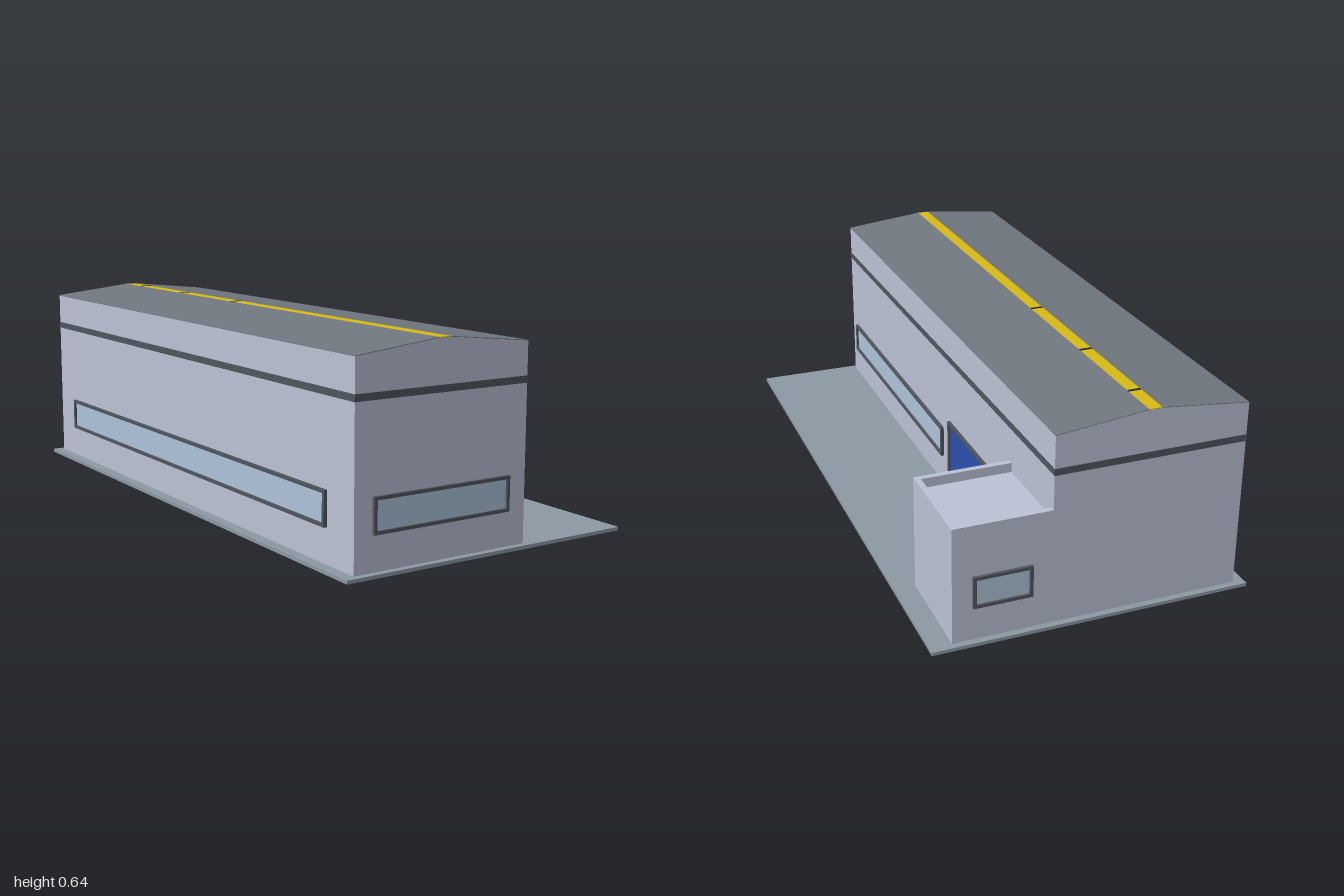
import * as THREE from 'three';

const mat = (color) => new THREE.MeshStandardMaterial({ color });
const wall = mat(0xbcc2d6), roofGrey = mat(0x70777f), slabGrey = mat(0x8c99a3);
const trim = mat(0x50555d), yellow = mat(0xd9bb12), blue = mat(0x2c4fae);
const glass = mat(0xadc4da), dark = mat(0x22252a);

export function createModel() {
  const model = new THREE.Group();

  const add = (name, geometry, material, parent = model) => {
    const mesh = new THREE.Mesh(geometry, material);
    mesh.name = name;
    parent.add(mesh);
    return mesh;
  };
  // Box given by its limits on each axis
  const box = (name, material, x0, x1, y0, y1, z0, z1) => {
    const g = new THREE.BoxGeometry(x1 - x0, y1 - y0, z1 - z0);
    g.translate((x0 + x1) / 2, (y0 + y1) / 2, (z0 + z1) / 2);
    return add(name, g, material);
  };
  // Cross-section in x, y drawn out along z
  const prism = (name, material, points, z0, z1) => {
    const shape = new THREE.Shape(points.map(([x, y]) => new THREE.Vector2(x, y)));
    const g = new THREE.ExtrudeGeometry(shape, { depth: z1 - z0, bevelEnabled: false });
    return add(name, g.translate(0, 0, z0), material);
  };
  const rect = (path, x0, y0, x1, y1) =>
    path.moveTo(x0, y0).lineTo(x1, y0).lineTo(x1, y1).lineTo(x0, y1).closePath();

  // Framed panel that stands out from a wall; built facing +z, then turned
  const opening = (name, w, y0, y1, border, sill, panelMat, x, z, turn) => {
    const group = new THREE.Group();
    group.name = name;
    const shape = new THREE.Shape();
    rect(shape, -w / 2, y0, w / 2, y1);
    const hole = new THREE.Path();
    rect(hole, -w / 2 + border, y0 + sill, w / 2 - border, y1 - border);
    shape.holes.push(hole);
    add(name + 'Frame', new THREE.ExtrudeGeometry(shape, { depth: 0.01, bevelEnabled: false }), trim, group);
    const panel = new THREE.BoxGeometry(w - border, y1 - y0 - border / 2, 0.002);
    add(name + 'Panel', panel.translate(0, (y0 + y1 - border / 2) / 2, 0.002), panelMat, group);
    group.position.set(x, 0, z);
    group.rotation.y = turn;
    model.add(group);
  };

  // Ground slab
  box('baseSlab', slabGrey, -0.5, 0.5, 0, 0.011, -1, 1);

  // Main hall with a shallow gable
  const L = -0.465, R = 0.133, E = 0.605, P = 0.635, A = -0.187, B = -0.147, Z = 0.98, t = 0.002;
  prism('hallWalls', wall, [[L, 0.011], [R, 0.011], [R, E], [B, P], [A, P], [L, E]], -Z, Z);
  box('wallBand', trim, L - 0.001, R + 0.001, 0.484, 0.505, -Z - 0.001, Z + 0.001);

  // Roof slopes and ridge strip
  prism('roofLeftSlope', roofGrey, [[L, E], [A, P], [A, P + t], [L, E + t]], -Z, Z);
  prism('roofRightSlope', roofGrey, [[B, P], [R, E], [R, E + t], [B, P + t]], -Z, Z);
  box('ridgeStrip', yellow, A, B, P, P + t, -Z, Z);
  for (const z of [-0.85, -0.53, -0.157])
    box('ridgeSeam', dark, A, B, P, P + t + 0.001, z - 0.005, z + 0.005);

  // Side annex with a parapet round its flat roof
  const AX = 0.433, AZ = -0.66, deck = 0.347, top = 0.377, p = 0.018;
  box('annexBody', wall, R, AX, 0.011, deck, -Z, AZ);
  box('parapetFront', wall, R, AX, deck, top, AZ - p, AZ);
  box('parapetBack', wall, R, AX, deck, top, -Z, -Z + p);
  box('parapetSide', wall, AX - p, AX, deck, top, -Z + p, AZ - p);

  // Windows
  const q = Math.PI / 2;
  opening('frontWindow', 0.475, 0.117, 0.223, 0.01, 0.01, glass, -0.1675, Z, 0);
  opening('rightWindow', 1.005, 0.117, 0.223, 0.01, 0.01, glass, R, 0.4175, q);
  opening('leftWindow', 1.7, 0.117, 0.223, 0.01, 0.01, glass, L, 0, -q);
  opening('annexWindow', 0.18, 0.117, 0.217, 0.01, 0.01, glass, 0.283, -Z, Math.PI);

  // Doors
  opening('loadingDoor', 0.385, 0.011, 0.275, 0.01, 0.002, blue, R, -0.34, q);
  opening('annexDoor', 0.1, 0.011, 0.217, 0.01, 0.002, blue, 0.225, AZ, 0);

  return model;
}
